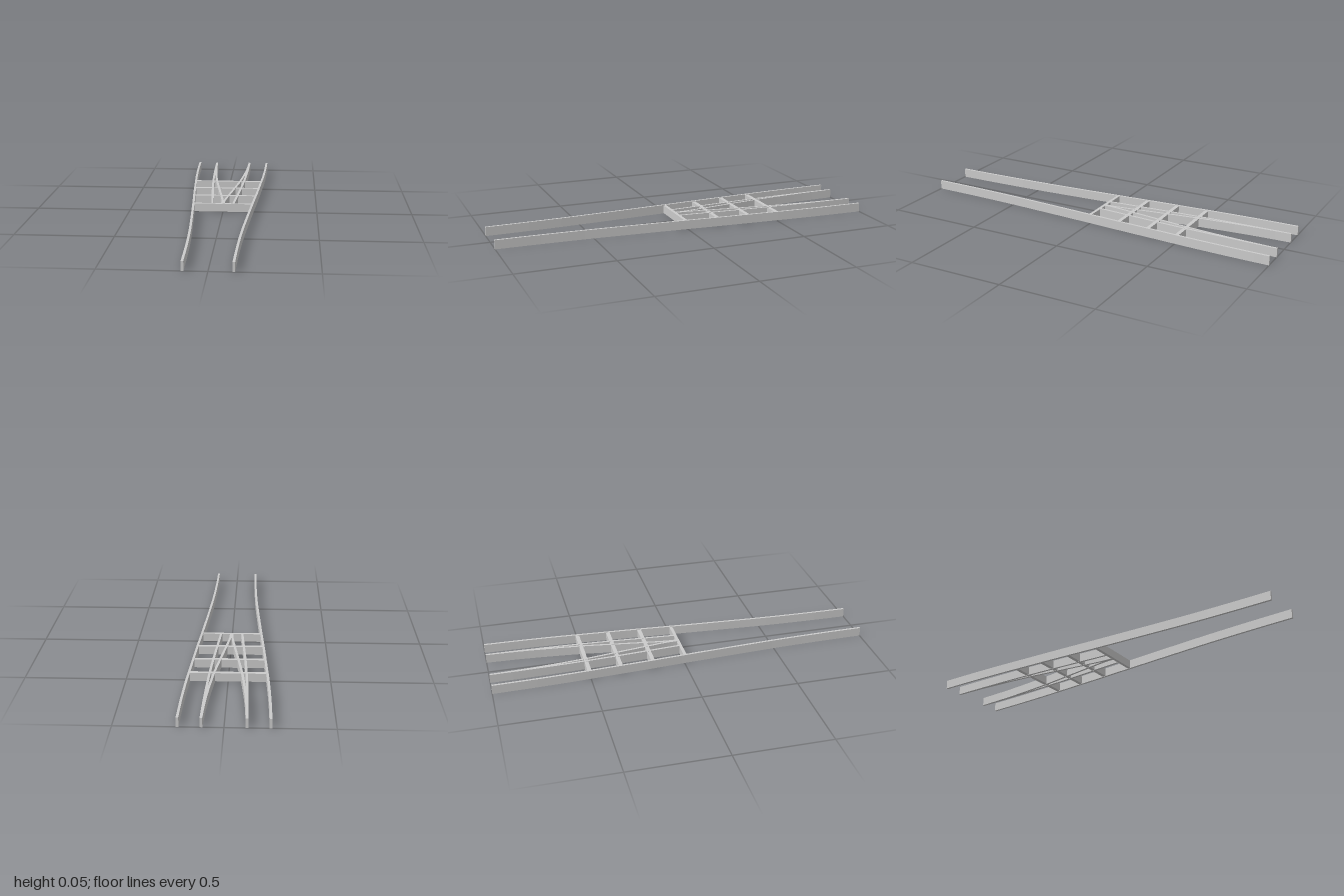
import * as THREE from 'three';

const HEIGHT = 0.047;
const THICK = 0.012;

// Vertical plate following a plan curve given as [x, z] points
function plateGeometry(points, side, thickness = THICK, height = HEIGHT) {
  const curve = new THREE.SplineCurve(points.map(([x, z]) => new THREE.Vector2(x * side, z)));
  const line = curve.getPoints(40);
  const offset = (d) => line.map((p) => new THREE.Vector2(p.x + d, p.y));
  const outline = [...offset(-thickness / 2), ...offset(thickness / 2).reverse()];
  const geo = new THREE.ExtrudeGeometry(new THREE.Shape(outline), { depth: height, bevelEnabled: false });
  // plan y becomes z, depth runs downward from the top edge
  return geo.rotateX(Math.PI / 2).translate(0, height, 0);
}

export function createModel() {
  const group = new THREE.Group();
  const material = new THREE.MeshStandardMaterial({ color: 0xcccccc });
  const add = (name, geometry) => {
    const mesh = new THREE.Mesh(geometry, material);
    mesh.name = name;
    group.add(mesh);
    return mesh;
  };

  // Plan curves for the +x half
  const outer = [[0.114, 1], [0.117, 0.8], [0.125, 0.55], [0.139, 0.3], [0.158, 0],
    [0.172, -0.2], [0.184, -0.4], [0.196, -0.6], [0.204, -0.8], [0.208, -1]];
  const branch = [[0.056, 0], [0.068, -0.17], [0.08, -0.34], [0.09, -0.52],
    [0.096, -0.68], [0.1, -0.84], [0.102, -1]];
  const vee = [[0.004, 0], [0.006, -0.06], [0.022, -0.18], [0.045, -0.34], [0.067, -0.5],
    [0.083, -0.66], [0.095, -0.82], [0.102, -1]];

  for (const [side, label] of [[1, 'left'], [-1, 'right']]) {
    add(label + 'OuterRail', plateGeometry(outer, side));
    add(label + 'InnerRail', plateGeometry(branch, side, THICK, 0.046));
    add(label + 'VeeRail', plateGeometry(vee, side, THICK, 0.046));
  }

  // Cross members tying the rails together: [z, half width, depth]
  const bars = [[0.005, 0.158, 0.016], [-0.17, 0.17, 0.02], [-0.34, 0.18, 0.02], [-0.505, 0.189, 0.02]];
  bars.forEach(([z, half, depth], i) => {
    add('crossMember' + (i + 1), new THREE.BoxGeometry(half * 2, 0.043, depth)).position.set(0, 0.0235, z);
  });

  return group;
}
